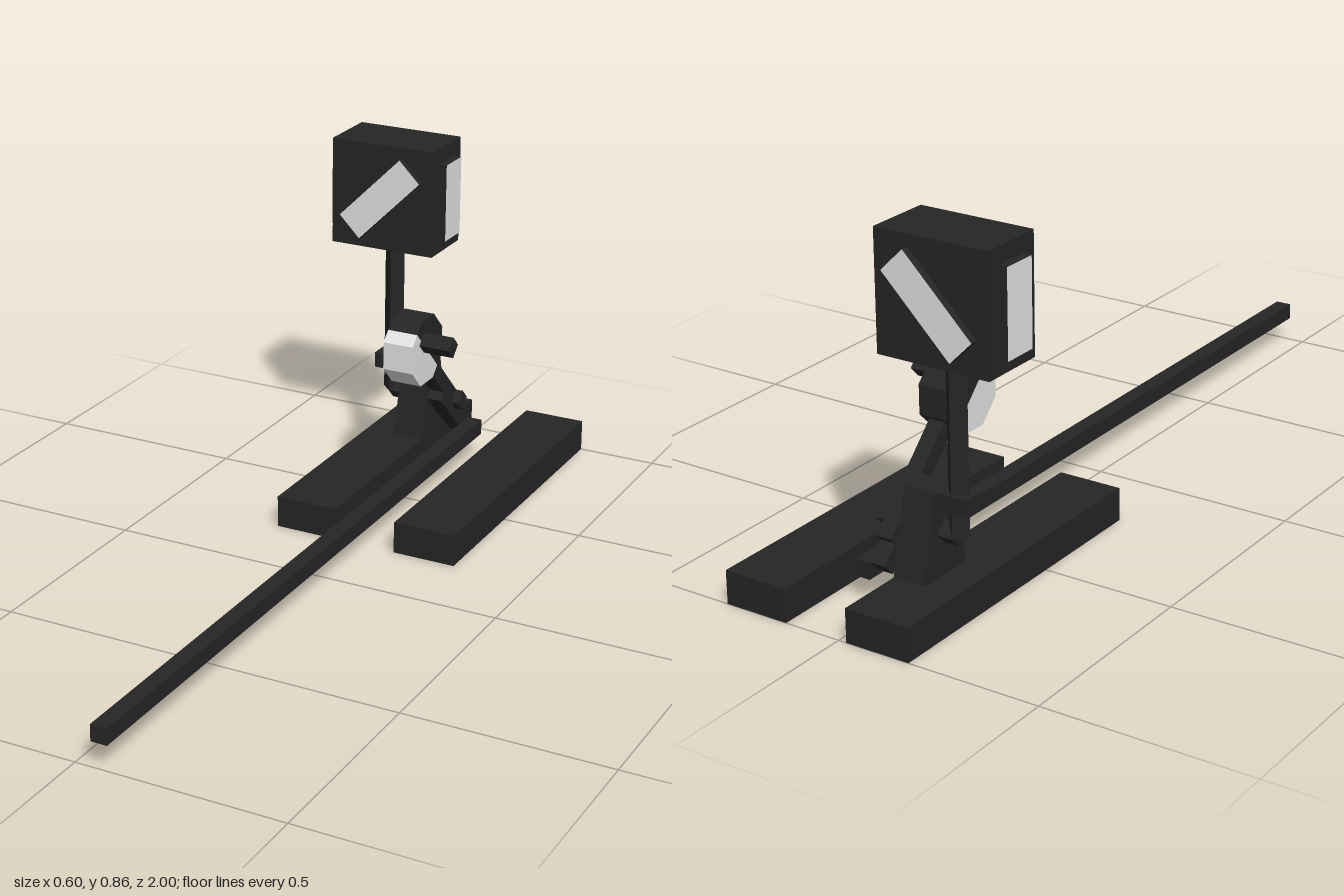
import * as THREE from 'three';

const dark = new THREE.MeshStandardMaterial({ color: 0x252525 });
dark.name = 'blackIron';
const troughDark = new THREE.MeshStandardMaterial({ color: 0x252525, side: THREE.DoubleSide });
troughDark.name = 'blackSleeper';
const white = new THREE.MeshStandardMaterial({ color: 0xe2e2e2 });
white.name = 'whitePaint';

const PIVOT_Y = 0.18, PIVOT_Z = -0.76;

export function createModel() {
  const group = new THREE.Group();

  const add = (name, geometry, material = dark) => {
    const mesh = new THREE.Mesh(geometry, material);
    mesh.name = name;
    group.add(mesh);
    return mesh;
  };

  // Box given by its limits on each axis
  const box = (name, [x0, x1], [y0, y1], [z0, z1], material) => {
    const mesh = add(name, new THREE.BoxGeometry(x1 - x0, y1 - y0, z1 - z0), material);
    mesh.position.set((x0 + x1) / 2, (y0 + y1) / 2, (z0 + z1) / 2);
    return mesh;
  };

  // Side profile of [z, y] points, extruded across x
  const profile = (name, points, x0, x1, material) => {
    const shape = new THREE.Shape(points.map(([z, y]) => new THREE.Vector2(z, y)));
    const geometry = new THREE.ExtrudeGeometry(shape, { depth: x1 - x0, bevelEnabled: false });
    geometry.rotateY(-Math.PI / 2).translate(x1, 0, 0);
    return add(name, geometry, material);
  };

  // Square bar standing on its edge
  const edgeBar = length => {
    const geometry = new THREE.CylinderGeometry(0.027, 0.027, length, 4).toNonIndexed();
    geometry.computeVertexNormals();
    return geometry;
  };

  // Flat bar in the side plane between two [z, y] points
  const sideBar = (name, [z0, y0], [z1, y1], x0, x1, half) => {
    const length = Math.hypot(z1 - z0, y1 - y0);
    const dz = (z1 - z0) / length * half, dy = (y1 - y0) / length * half;
    profile(name, [[z0 + dy, y0 - dz], [z1 + dy, y1 - dz],
      [z1 - dy, y1 + dz], [z0 - dy, y0 + dz]], x0, x1);
  };

  // Sleepers: hollow troughs, open underneath
  for (const [name, x] of [['rightSleeper', -0.1], ['leftSleeper', 0.22]]) {
    const geometry = new THREE.BoxGeometry(0.16, 0.08, 0.8);
    const index = Array.from(geometry.index.array);
    index.splice(18, 6); // bottom face
    geometry.setIndex(index);
    geometry.clearGroups();
    add(name, geometry, troughDark).position.set(x, 0.04, -0.6);
  }

  // Long connecting rod
  box('connectingRod', [0.04, 0.08], [0.06, 0.1], [-0.84, 1]);

  // Tapered stand and the bracket guiding the post
  profile('stand', [[-0.835, 0.08], [-0.685, 0.08], [-0.73, 0.28], [-0.79, 0.28]], -0.1, -0.02);
  box('postBracket', [-0.18, -0.1], [0.24, 0.28], [-0.79, -0.73]);

  // Lantern post and cross shaft
  add('lanternPost', edgeBar(0.42)).position.set(-0.14, 0.39, PIVOT_Z);
  add('crossShaft', edgeBar(0.2).rotateZ(Math.PI / 2)).position.set(-0.04, PIVOT_Y, PIVOT_Z);

  // Throw lever and crank
  sideBar('throwLever', [-0.8, 0.14], [-0.565, 0.375], 0, 0.04, 0.02);
  sideBar('crank', [-0.682, 0.222], [-0.825, 0.087], 0, 0.04, 0.02);

  // Octagonal counterweight, split along the lever into two colours
  const weightHalf = (name, start, material) => {
    const points = [];
    for (let i = 0; i < 6; i++) {
      const middle = i === 0 || i === 5;
      const radius = middle ? 0.085 : 0.085 / Math.cos(Math.PI / 8);
      const step = middle ? (i ? 4 : 0) : i - 0.5;
      const angle = start + step * Math.PI / 4;
      points.push([-0.54 + radius * Math.cos(angle), 0.395 + radius * Math.sin(angle)]);
    }
    profile(name, points, -0.02, 0.06, material);
  };
  weightHalf('weightDarkHalf', Math.PI / 4, dark);
  weightHalf('weightWhiteHalf', Math.PI * 5 / 4, white);
  add('weightHandle', edgeBar(0.08).rotateZ(Math.PI / 2)).position.set(0.1, 0.4225, -0.52);

  // Lantern with white windows on all four sides
  box('lanternBody', [-0.28, 0], [0.585, 0.86], [-0.84, -0.68]);
  box('lanternSideWindows', [-0.3, 0.02], [0.62, 0.82], [-0.803, -0.717],
    [white, white, dark, dark, dark, dark]);
  const stripe = add('lanternDiagonalWindows', new THREE.BoxGeometry(0.235, 0.078, 0.196),
    [dark, dark, dark, dark, white, white]);
  stripe.position.set(-0.14, 0.722, -0.76);
  stripe.rotation.z = Math.PI / 4;

  return group;
}
